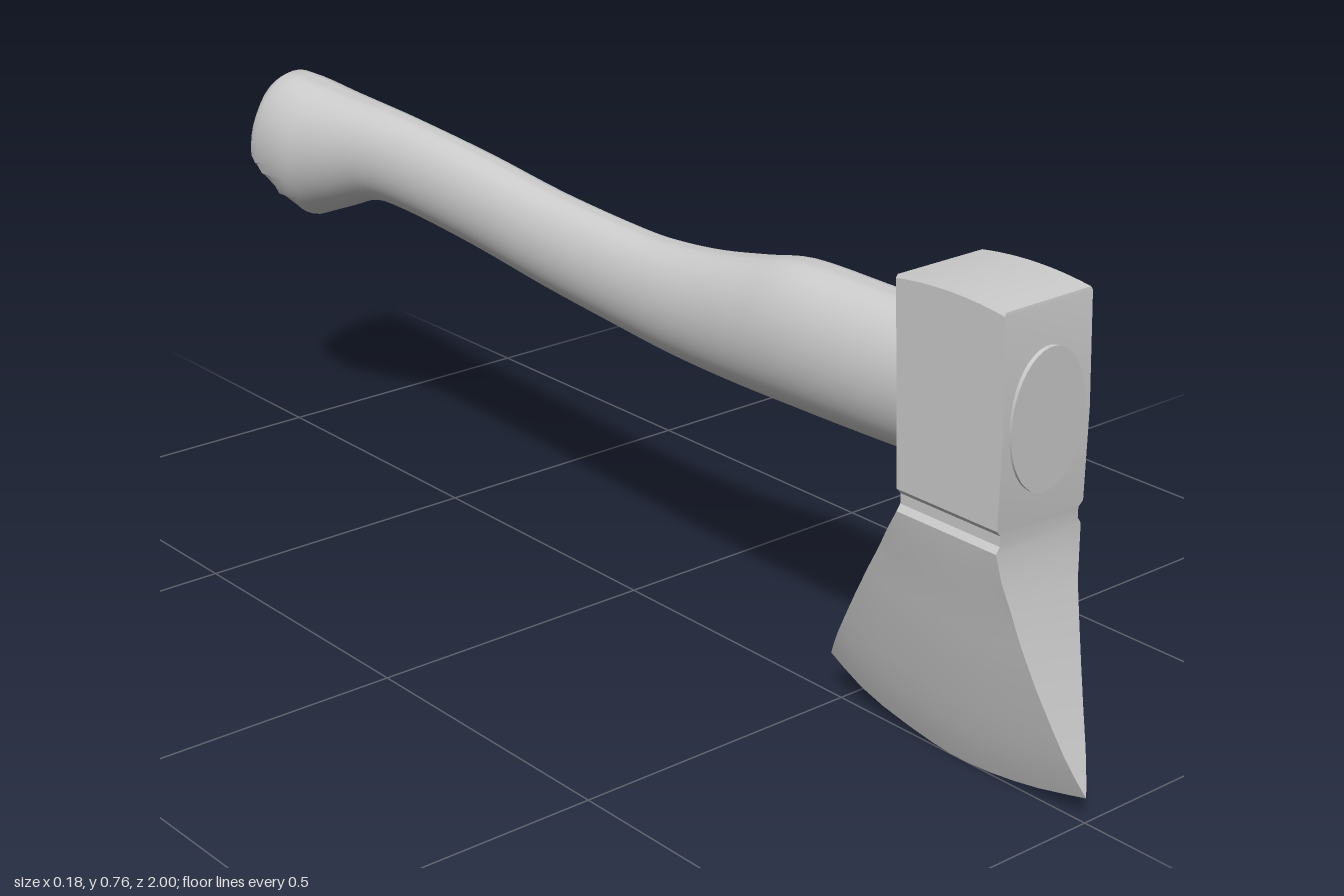
import * as THREE from 'three';
import { toCreasedNormals } from 'three/addons/utils/BufferGeometryUtils.js';

const lerp = THREE.MathUtils.lerp;

// Skin a list of equal-length closed rings of [x, y, z], with zipped end caps.
function loft(rings, crease) {
  const n = rings[0].length, last = (rings.length - 1) * n, index = [];
  for (let r = 0; r < rings.length - 1; r++) {
    for (let k = 0; k < n; k++) {
      const a = r * n + k, b = r * n + (k + 1) % n;
      index.push(a, a + n, b + n, a, b + n, b);
    }
  }
  for (let k = 0; k < n / 2 - 1; k++) {
    const a = k, b = k + 1, c = n - 2 - k, d = n - 1 - k;
    index.push(a, b, c, a, c, d);
    index.push(last + a, last + c, last + b, last + a, last + d, last + c);
  }
  const geometry = new THREE.BufferGeometry();
  geometry.setAttribute('position', new THREE.Float32BufferAttribute(rings.flat(2), 3));
  geometry.setIndex(index);
  return toCreasedNormals(geometry, crease);
}

// Axe head: eye block, groove and flared blade as one stack of sections
function headGeometry() {
  const columns = 12;
  const section = (width, pointAt) => {
    const side = [];
    for (let i = 0; i <= columns; i++) side.push(pointAt(i / columns));
    return [
      ...side.map(([z, y]) => [width, y, z]),
      ...side.reverse().map(([z, y]) => [-width, y, z]),
    ];
  };

  const rings = [];
  // Block and groove rows: y, front z, back z, half width, crown height
  const rows = [
    [0.755, 0.88, 0.674, 0.084, 0.008],
    [0.75, 0.881, 0.674, 0.087, 0.008],
    [0.58, 0.888, 0.683, 0.087, 0],
    [0.437, 0.886, 0.689, 0.087, 0],
    [0.428, 0.885, 0.69, 0.079, 0],
    [0.412, 0.885, 0.69, 0.079, 0],
  ];
  for (const [y, front, back, width, crown] of rows) {
    rings.push(section(width, u => [lerp(front, back, u), y + crown * (1 - (2 * u - 1) ** 2)]));
  }

  // Blade rows run from the groove down to the curved cutting edge
  const edge = new THREE.SplineCurve([
    [1, 0.04], [0.89, 0.014], [0.78, 0.001], [0.69, 0.005], [0.56, 0.03], [0.475, 0.068],
  ].map(p => new THREE.Vector2(...p)));
  const taper = [[0, 0.086], [0.12, 0.079], [0.22, 0.07], [0.38, 0.06], [0.55, 0.047],
    [0.7, 0.034], [0.83, 0.022], [0.93, 0.01], [1, 0]];
  for (const [t, width] of taper) {
    rings.push(section(width, u => {
      const e = edge.getPoint(u);
      return [lerp(lerp(0.885, 0.69, u), e.x, t ** lerp(1.35, 1, u)), lerp(0.402, e.y, t)];
    }));
  }
  return loft(rings, 0.35);
}

// Handle: oval sections along z, with a swollen end cut off at a slant
function handleGeometry() {
  // z, top y, bottom y, half width
  const stations = [
    [0.891, 0.69, 0.475, 0.074], [0.68, 0.688, 0.462, 0.079], [0.54, 0.688, 0.457, 0.081],
    [0.4, 0.687, 0.454, 0.08], [0.3, 0.667, 0.452, 0.074], [0.2, 0.648, 0.452, 0.067],
    [0.1, 0.637, 0.455, 0.062], [0, 0.635, 0.462, 0.058], [-0.2, 0.645, 0.479, 0.057],
    [-0.4, 0.665, 0.501, 0.057], [-0.6, 0.679, 0.515, 0.059], [-0.7, 0.683, 0.51, 0.066],
    [-0.8, 0.686, 0.472, 0.08], [-0.885, 0.69, 0.438, 0.092],
  ];
  const top = new THREE.CatmullRomCurve3(
    stations.map(([z, t, , w]) => new THREE.Vector3(w, t, z)), false, 'catmullrom');
  const bottom = new THREE.CatmullRomCurve3(
    stations.map(([z, , b]) => new THREE.Vector3(0, b, z)), false, 'catmullrom');

  const sections = [], steps = (stations.length - 1) * 4, sides = 40;
  for (let i = 0; i <= steps; i++) {
    const a = top.getPoint(i / steps), b = bottom.getPoint(i / steps);
    sections.push([a.z, a.y, b.y, a.x]);
  }
  // Rounded end of the knob
  sections.push([-0.925, 0.692, 0.435, 0.091], [-0.96, 0.692, 0.433, 0.089],
    [-0.978, 0.683, 0.433, 0.087], [-0.99, 0.665, 0.433, 0.084], [-1, 0.625, 0.45, 0.078]);

  const rings = sections.map(([z, t, b, w]) => {
    const cut = 0.438 + (-0.885 - z) * 0.93;
    return Array.from({ length: sides }, (_, k) => {
      const angle = ((k + 0.5) / sides) * Math.PI * 2;
      const y = (t + b) / 2 + Math.sin(angle) * (t - b) / 2;
      return [Math.cos(angle) * w, z < -0.885 ? Math.max(y, cut) : y, z];
    });
  });
  return loft(rings, 0.6);
}

export function createModel() {
  const group = new THREE.Group();
  group.name = 'axe';
  const material = new THREE.MeshStandardMaterial({ color: 0xcccccc });
  const parts = { axeHead: headGeometry(), handle: handleGeometry() };
  for (const [name, geometry] of Object.entries(parts)) {
    const mesh = new THREE.Mesh(geometry, material);
    mesh.name = name;
    group.add(mesh);
  }
  return group;
}
